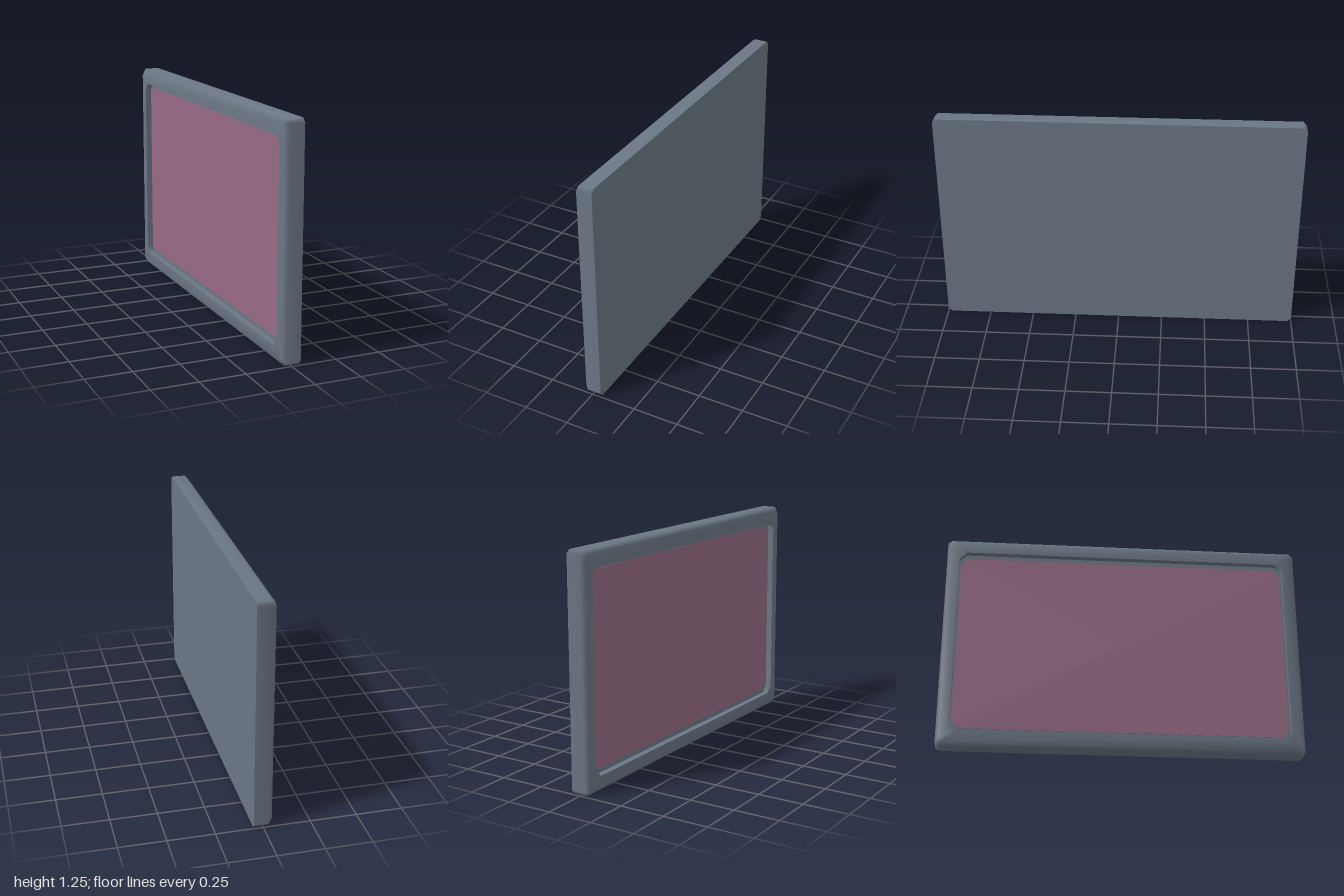
import * as THREE from 'three';

const H = 1.25, MID = H / 2;

// Rectangle in the z/y plane with cut corners, counter-clockwise seen from -x
function ring(x, halfZ, halfY, cut) {
  const a = halfZ - cut, b = halfY - cut;
  return [[halfZ, -b], [halfZ, b], [a, halfY], [-a, halfY], [-halfZ, b], [-halfZ, -b], [-a, -halfY], [a, -halfY]]
    .map(([z, y]) => [x, MID + y, z]);
}

// Skin consecutive rings; normals are smooth within one skin
function skin(name, material, rings) {
  const n = rings[0].length, index = [];
  for (let r = 0; r < rings.length - 1; r++) {
    for (let i = 0; i < n; i++) {
      const j = (i + 1) % n, a = r * n, b = a + n;
      index.push(a + i, a + j, b + j, a + i, b + j, b + i);
    }
  }
  const geo = new THREE.BufferGeometry();
  geo.setAttribute('position', new THREE.Float32BufferAttribute(rings.flat(2), 3));
  geo.setIndex(index);
  geo.computeVertexNormals();
  const mesh = new THREE.Mesh(geo, material);
  mesh.name = name;
  return mesh;
}

export function createModel() {
  const frameMat = new THREE.MeshStandardMaterial({ color: 0x6b7785 });
  frameMat.name = 'slate frame';
  const panelMat = new THREE.MeshStandardMaterial({ color: 0x966b85 });
  panelMat.name = 'mauve panel';

  const center = (x) => ring(x, 0, 0, 0);
  const back = ring(0.05, 1, MID, 0.02);
  const shoulder = ring(-0.03, 1, MID, 0.02);
  const crest = ring(-0.05, 0.98, MID - 0.02, 0.02);
  const lip = ring(-0.05, 0.928, MID - 0.083, 0.04);
  const floor = ring(-0.015, 0.928, MID - 0.083, 0.04);
  const panelEdge = (x) => ring(x, 0.92, MID - 0.108, 0.04);

  const model = new THREE.Group();
  model.name = 'framedBoard';
  model.add(
    // Soft-edged frame: sides, chamfer and front rim
    skin('frame', frameMat, [back, shoulder, crest, lip]),
    // Recess behind the rim
    skin('recessWall', frameMat, [lip, floor]),
    skin('recessFloor', frameMat, [floor, center(-0.015)]),
    // Flat rear cover
    skin('backPlate', frameMat, [center(0.05), back]),
    // Thin coloured panel lying in the recess
    skin('panelRim', panelMat, [panelEdge(-0.015), panelEdge(-0.018)]),
    skin('panel', panelMat, [panelEdge(-0.018), center(-0.018)]),
  );
  return model;
}
